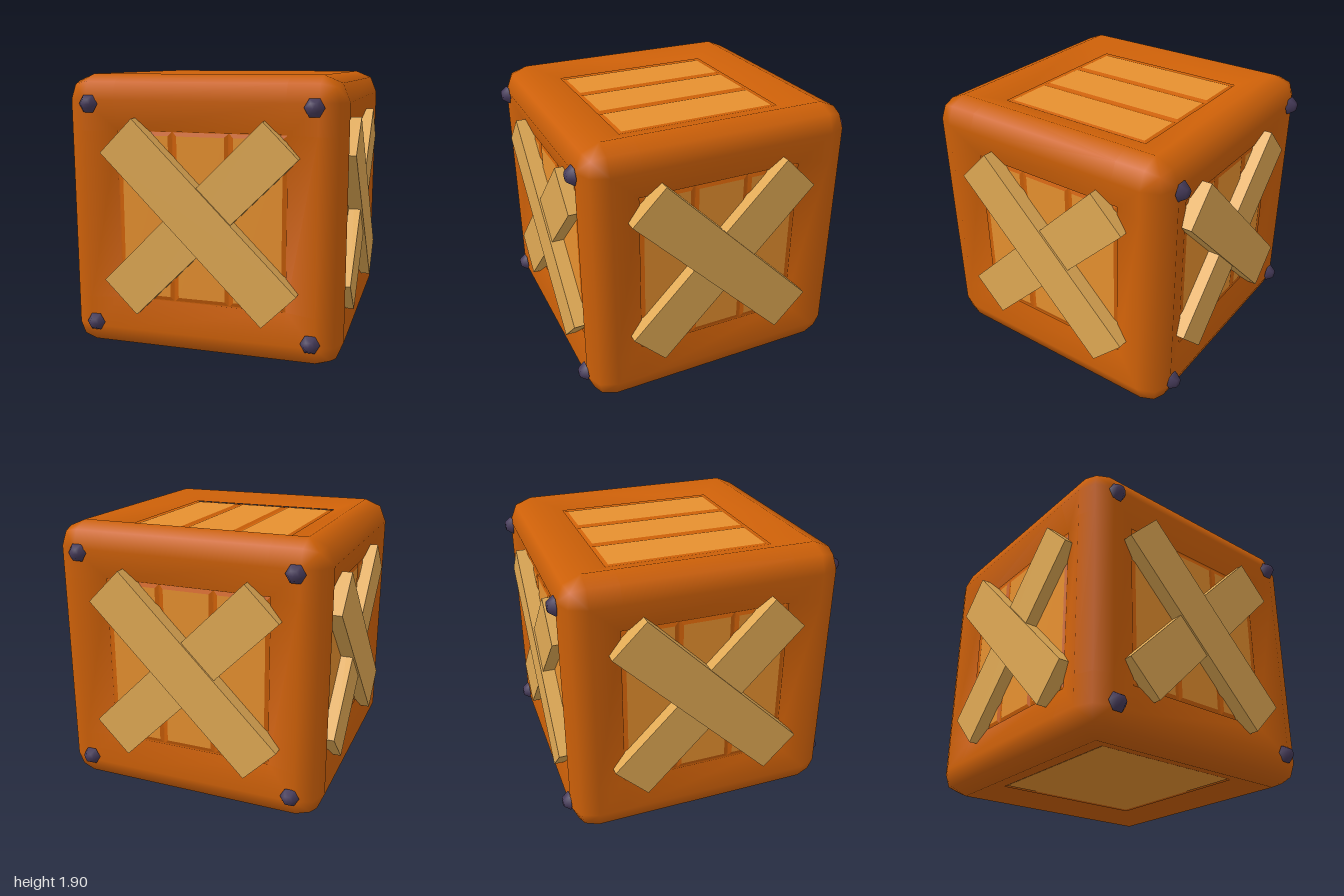
import * as THREE from 'three';

const HALF = 0.952;      // half size of the crate
const ROUND = 0.167;     // edge rounding
const OPEN = 0.58;       // half size of the panel opening
const RIM = 0.886;       // depth of the frame at the opening
const FLOOR = 0.878;     // depth of the board behind the slats

function material(name, color) {
  const m = new THREE.MeshStandardMaterial({ color });
  m.name = name;
  return m;
}

function add(parent, name, geometry, mat, x = 0, y = 0, z = 0) {
  const mesh = new THREE.Mesh(geometry, mat);
  mesh.name = name;
  mesh.position.set(x, y, z);
  parent.add(mesh);
  return mesh;
}

// One side of the rounded shell, dished towards a square opening
function frameGeometry() {
  const flat = HALF - ROUND;
  const stops = [-HALF, -flat, -OPEN, OPEN, flat, HALF];
  const n = stops.length;
  const positions = [], normals = [], index = [];
  const p = new THREE.Vector3(), q = new THREE.Vector3();
  for (const v of stops) {
    for (const u of stops) {
      p.set(u, v, HALF);
      q.set(THREE.MathUtils.clamp(u, -flat, flat), THREE.MathUtils.clamp(v, -flat, flat), flat);
      const normal = p.clone().sub(q).normalize();
      p.copy(q).addScaledVector(normal, ROUND);
      if (Math.max(Math.abs(u), Math.abs(v)) <= OPEN) {
        p.z = RIM;
        normal.set(-0.2 * Math.sign(u), -0.2 * Math.sign(v), 1).normalize();
      }
      positions.push(p.x, p.y, p.z);
      normals.push(normal.x, normal.y, normal.z);
    }
  }
  for (let j = 0; j < n - 1; j++) {
    for (let i = 0; i < n - 1; i++) {
      if (i === 2 && j === 2) continue; // the opening
      const a = j * n + i, b = a + 1, c = b + n, d = a + n;
      // mitre the corners along their diagonals
      if ((i - 2) * (j - 2) >= 0) index.push(a, b, c, a, c, d);
      else index.push(a, b, d, b, c, d);
    }
  }
  const g = new THREE.BufferGeometry();
  g.setAttribute('position', new THREE.Float32BufferAttribute(positions, 3));
  g.setAttribute('normal', new THREE.Float32BufferAttribute(normals, 3));
  g.setIndex(index);
  return g;
}

// Board with bevelled edges around its front face
function slatGeometry(width, height, depth, bevel) {
  const g = new THREE.BoxGeometry(width, height, depth);
  const pos = g.attributes.position;
  for (let i = 0; i < pos.count; i++) {
    if (pos.getZ(i) > 0) {
      pos.setX(i, pos.getX(i) - Math.sign(pos.getX(i)) * bevel);
      pos.setY(i, pos.getY(i) - Math.sign(pos.getY(i)) * bevel);
    }
  }
  g.computeVertexNormals();
  return g;
}

export function createModel() {
  const frameMat = material('frame orange', 0xcd6008);
  const slatMat = material('slat wood', 0xe6902f);
  const braceMat = material('brace wood', 0xe0a954);
  const boltMat = material('bolt metal', 0x463b5a);

  const frame = frameGeometry();
  const backing = new THREE.BoxGeometry(1.22, 1.22, 0.04);
  const slat = slatGeometry(2 * OPEN / 3 - 0.008, 2 * OPEN - 0.006, 0.008, 0.026);
  const slatMats = [frameMat, frameMat, frameMat, frameMat, slatMat, frameMat];
  const bottomPanel = new THREE.BoxGeometry(1.136, 1.136, 0.006);
  const overBrace = new THREE.BoxGeometry(1.565, 0.325, 0.13);
  const underBrace = new THREE.BoxGeometry(1.565, 0.325, 0.118);

  // hexagonal tapered stud, points to the sides, softly shaded
  const boltProfile = [[0.066, 0], [0.064, 0.008], [0.034, 0.05], [0, 0.052]];
  const bolt = new THREE.LatheGeometry(boltProfile.map(([r, y]) => new THREE.Vector2(r, y)), 6);
  bolt.rotateX(Math.PI / 2).rotateZ(Math.PI / 6);

  const model = new THREE.Group();
  model.name = 'crate';

  const sides = [
    { name: 'frontSide', braced: true, bolted: true },
    { name: 'leftSide', ry: Math.PI / 2, braced: true },
    { name: 'backSide', ry: Math.PI, braced: true, bolted: true },
    { name: 'rightSide', ry: -Math.PI / 2, braced: true },
    { name: 'topSide', rx: -Math.PI / 2 },
    { name: 'bottomSide', rx: Math.PI / 2, plain: true },
  ];

  for (const { name, rx = 0, ry = 0, braced, bolted, plain } of sides) {
    const side = new THREE.Group();
    side.name = name;
    side.position.y = HALF;
    side.rotation.set(rx, ry, 0);
    model.add(side);

    add(side, 'frame', frame, frameMat);
    add(side, 'backing', backing, frameMat, 0, 0, FLOOR - 0.02);
    if (plain) {
      add(side, 'bottomPanel', bottomPanel, slatMat, 0, 0, FLOOR);
    } else {
      for (const k of [-1, 0, 1]) {
        add(side, 'slat', slat, slatMats, k * 2 * OPEN / 3, 0, FLOOR + 0.004);
      }
    }

    // crossed braces, one proud of the other
    if (braced) {
      add(side, 'overBrace', overBrace, braceMat, 0, 0, 0.918).rotation.z = -Math.PI / 4;
      add(side, 'underBrace', underBrace, braceMat, 0, 0, 0.911).rotation.z = Math.PI / 4;
    }

    // bolts at the corners
    if (bolted) {
      for (const x of [-0.757, 0.757]) {
        for (const y of [-0.757, 0.757]) add(side, 'bolt', bolt, boltMat, x, y, 0.948);
      }
    }
  }
  return model;
}
